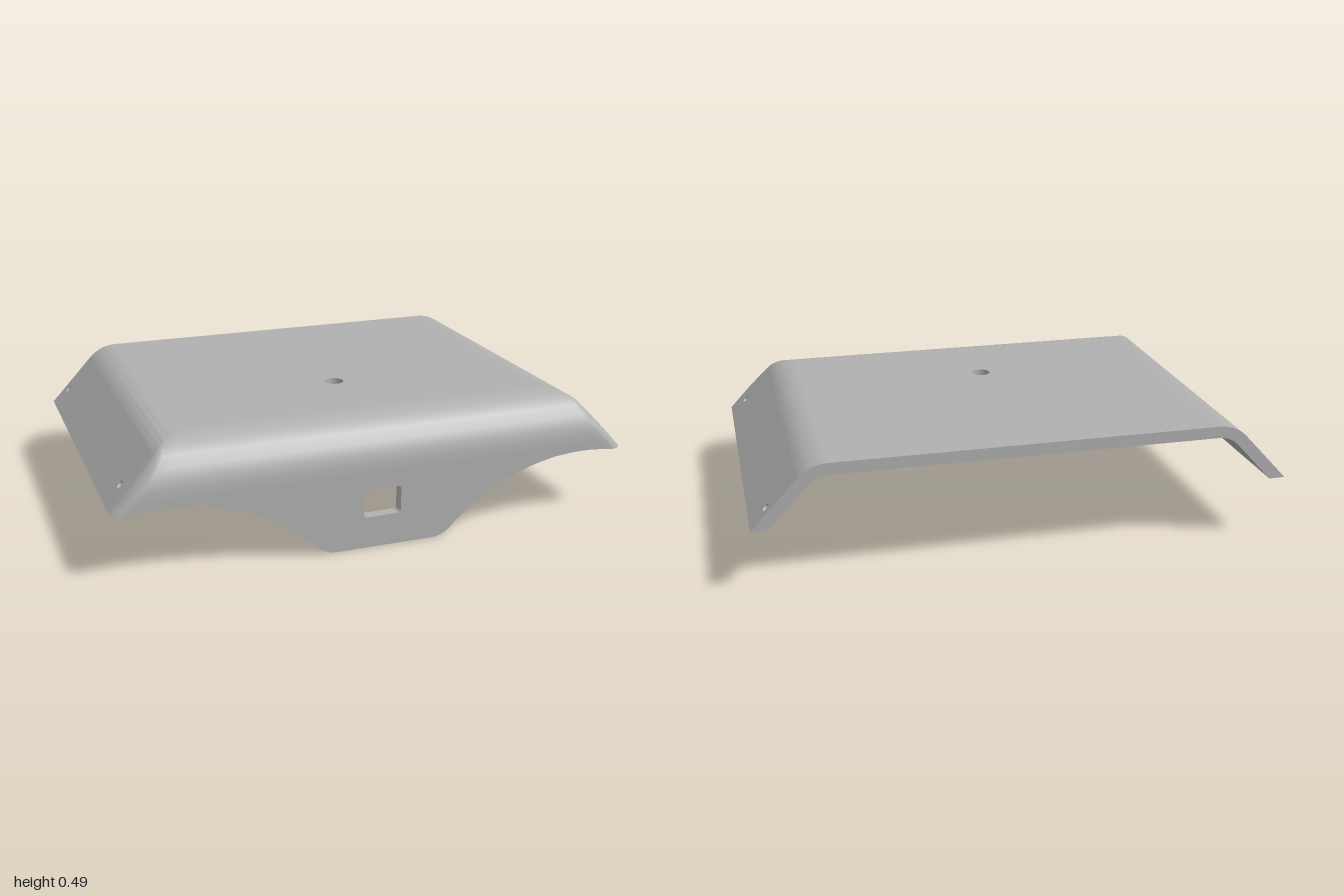
import * as THREE from 'three';
import { mergeGeometries, toCreasedNormals } from 'three/addons/utils/BufferGeometryUtils.js';

const T = 0.045;                 // sheet thickness
const TOP = 0.485, BASE = 0.255; // top face and lower edge of the sides
const BACK = -0.665, FRONT = 0.665;
const FLAT_X = 0.72, SIDE_R = 0.15;   // flat top half width, side bend radius
const FLAT_Z = 0.495, FRONT_R = 0.17; // flat top front limit, front bend radius
const A = THREE.MathUtils.degToRad(47), S = Math.sin(A), C = Math.cos(A);
const PANEL_Z = 0.56;            // where the flat side panels meet the front corners
const ARCH = { x: 0.82, y: -0.515, r: 0.78 };

const archY = x => ARCH.y + Math.sqrt(Math.max(0, ARCH.r ** 2 - (Math.abs(x) - ARCH.x) ** 2));

// half width and height on the bend (angle a), d below the outer skin
const bend = (a, d) => [FLAT_X + (SIDE_R - d) * Math.sin(a), TOP - SIDE_R + (SIDE_R - d) * Math.cos(a)];

// half width and height on the slope, t = 0 at the lower edge, 1 at the bend
function slope(t, d) {
  const [x, y] = bend(A, d);
  return [THREE.MathUtils.lerp(1 - d / S, x, t), THREE.MathUtils.lerp(BASE, y, t)];
}

// front face depth at a height
function frontZ(y, d) {
  const h = Math.max(0, y - (TOP - FRONT_R));
  return FLAT_Z + Math.sqrt(Math.max(0, (FRONT_R - d) ** 2 - h * h));
}

// U-shaped plan outline at one height: side, corner, front, corner, side
function outline([x, y], d, z0, arched) {
  const z = frontZ(y, d);
  const fade = Math.min(1, Math.max(0, TOP - d - y) / 0.1);
  const r = Math.max(0.05 - d, 0.006) * fade;
  const half = [[x, z0]];
  for (let i = 0; i <= 8; i++) {
    const a = i / 8 * Math.PI / 2;
    half.push([x - r + r * Math.cos(a), z - r + r * Math.sin(a)]);
  }
  for (let i = 1; i < 20; i++) half.push([(x - r) * (1 - i / 20), z]);
  const plan = [...half, [0, z], ...half.slice().reverse().map(p => [-p[0], p[1]])];
  return plan.map(([px, pz], i) => {
    const onFront = i > 0 && i < plan.length - 1;
    return [px, arched && onFront ? Math.max(BASE, archY(px)) : y, pz];
  });
}

// closed sheet swept through a list of heights
function sheet(levels, profile, z0, openBase) {
  const rings = levels.map((l, j) => {
    const arched = openBase && j === 0;
    return [...outline(profile(l, 0), 0, z0, arched), ...outline(profile(l, T), T, z0, arched).reverse()];
  });
  const n = rings[0].length, index = [];
  for (let j = 0; j < rings.length - 1; j++) {
    for (let i = 0; i < n; i++) {
      const a = j * n + i, b = j * n + (i + 1) % n;
      index.push(a, a + n, b, b, a + n, b + n);
    }
  }
  if (openBase) { // lower edge between outer and inner skin
    for (let i = 0; i < n / 2 - 1; i++) {
      index.push(i, i + 1, n - 1 - i, i + 1, n - 2 - i, n - 1 - i);
    }
  }
  const g = new THREE.BufferGeometry();
  g.setAttribute('position', new THREE.Float32BufferAttribute(rings.flat(2), 3));
  g.setIndex(index);
  return g;
}

function polygon(points) {
  return new THREE.Shape(points.map(p => new THREE.Vector2(...p)));
}

function roundHole(x, y, rx, ry = rx) {
  const p = new THREE.Path();
  p.absellipse(x, y, rx, ry, 0, Math.PI * 2, true);
  return p;
}

const extrude = shape => new THREE.ExtrudeGeometry(shape, { depth: T, bevelEnabled: false, curveSegments: 32 });

// flat top with its round hole
function topPanel() {
  const s = polygon([[-FLAT_X, -FLAT_Z], [FLAT_X, -FLAT_Z], [FLAT_X, -BACK], [-FLAT_X, -BACK]]);
  s.holes.push(roundHole(-0.013, -0.16, 0.037));
  return extrude(s).rotateX(-Math.PI / 2).translate(0, TOP - T, 0);
}

// sloping side with two screw holes; k = 1 left, -1 right
function sidePanel(k) {
  const [bx, by] = bend(A, 0);
  const len = Math.hypot(1 - bx, by - BASE);
  const lo = Math.min(k * BACK, k * PANEL_Z), hi = Math.max(k * BACK, k * PANEL_Z);
  const s = polygon([[0, lo], [len, lo], [len, hi], [0, hi]]);
  for (const z of [0.53, -0.615]) s.holes.push(roundHole(0.089, k * z, 0.015));
  const g = extrude(s).translate(0, 0, -T);
  // cut the lower edge level
  const p = g.attributes.position;
  for (let i = 0; i < p.count; i++) {
    if (p.getX(i) < 0.001 && p.getZ(i) < -T / 2) p.setX(i, T * C / S);
  }
  g.computeVertexNormals();
  const m = new THREE.Matrix4().makeBasis(
    new THREE.Vector3(-k * C, S, 0), new THREE.Vector3(0, 0, k), new THREE.Vector3(k * S, C, 0));
  return g.applyMatrix4(m.setPosition(k, BASE, 0));
}

// hanging front tab with arched sides and a rounded window
function frontTab() {
  const yEnd = 0.035;
  const a0 = Math.PI - Math.asin((yEnd - ARCH.y) / ARCH.r);
  const a1 = Math.PI - Math.asin((BASE - ARCH.y) / ARCH.r);
  const side = [];
  for (let i = 0; i <= 24; i++) {
    const a = a1 + (a0 - a1) * i / 24;
    side.push([ARCH.x + ARCH.r * Math.cos(a), ARCH.y + ARCH.r * Math.sin(a)]);
  }
  const [ex, ey] = side[side.length - 1];
  const foot = new THREE.QuadraticBezierCurve(
    new THREE.Vector2(ex, ey), new THREE.Vector2(ex - ey, 0), new THREE.Vector2(ex - ey - 0.045, 0));
  for (const v of foot.getPoints(8).slice(1)) side.push([v.x, v.y]);
  const s = polygon([...side, ...side.slice().reverse().map(([x, y]) => [-x, y])]);

  const [l, r, b, t, c] = [-0.085, 0.062, 0.12, 0.227, 0.017];
  const w = new THREE.Path();
  w.moveTo(l + c, b).lineTo(r - c, b).quadraticCurveTo(r, b, r, b + c);
  w.lineTo(r, t - c).quadraticCurveTo(r, t, r - c, t);
  w.lineTo(l + c, t).quadraticCurveTo(l, t, l, t - c);
  w.lineTo(l, b + c).quadraticCurveTo(l, b, l + c, b);
  s.holes.push(w);
  return toCreasedNormals(extrude(s).translate(0, 0, FRONT - T), 0.5);
}

export function createModel() {
  const group = new THREE.Group();
  const grey = new THREE.MeshStandardMaterial({ color: 0xb0b0b0 });
  grey.name = 'grey';
  const add = (name, geometry) => {
    const mesh = new THREE.Mesh(geometry, grey);
    mesh.name = name;
    group.add(mesh);
  };

  // curved front, its corners and the bends along both sides
  const lower = sheet([0, 0.2, 0.4, 0.6, 0.8, 1], slope, PANEL_Z, true);
  const angles = Array.from({ length: 15 }, (_, i) => A * (1 - i / 14));
  const upper = sheet(angles, bend, BACK, false);
  add('bentShell', toCreasedNormals(mergeGeometries([lower, upper]), 0.6));

  add('topPanel', topPanel());
  add('leftSidePanel', sidePanel(1));
  add('rightSidePanel', sidePanel(-1));
  add('frontTab', frontTab());
  return group;
}
